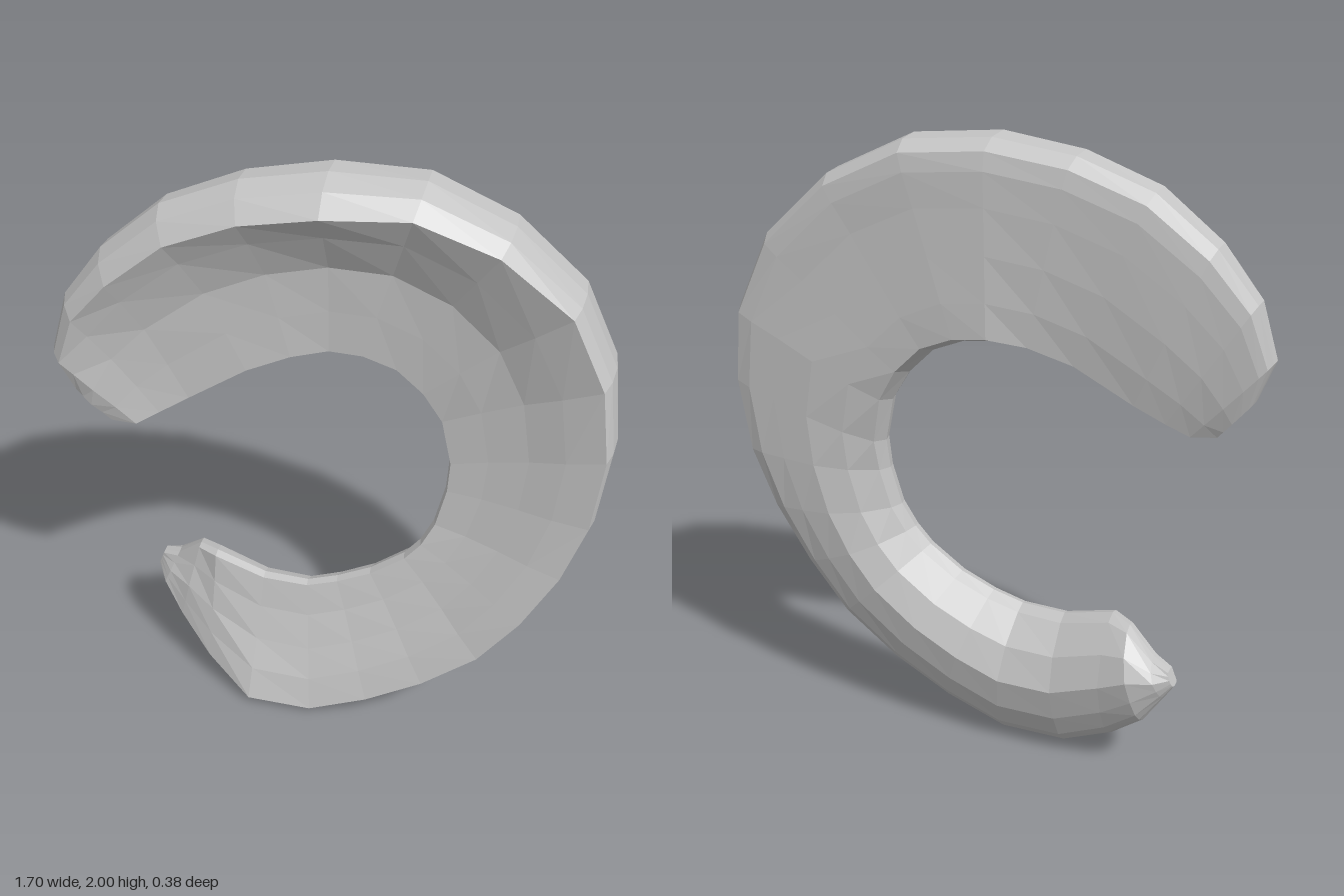
import * as THREE from 'three';

// Stations along the crescent: outer x, outer y, inner x, inner y
const OUTLINE = [
  [-0.80, 1.25, -0.69, 1.12], [-0.85, 1.38, -0.61, 1.115], [-0.80, 1.56, -0.54, 1.15],
  [-0.68, 1.72, -0.45, 1.20], [-0.50, 1.87, -0.27, 1.31], [-0.27, 1.96, -0.14, 1.36],
  [-0.02, 2.00, -0.03, 1.38], [0.25, 1.98, 0.07, 1.37], [0.50, 1.86, 0.17, 1.33],
  [0.71, 1.66, 0.25, 1.25], [0.82, 1.42, 0.31, 1.15], [0.85, 1.18, 0.345, 1.00],
  [0.82, 0.93, 0.34, 0.90], [0.75, 0.73, 0.31, 0.77], [0.64, 0.53, 0.27, 0.69],
  [0.51, 0.35, 0.22, 0.63], [0.33, 0.20, 0.11, 0.55], [0.14, 0.085, 0.00, 0.50],
  [-0.06, 0.00, -0.10, 0.47], [-0.28, 0.005, -0.25, 0.47], [-0.44, 0.09, -0.42, 0.52],
  [-0.56, 0.20, -0.49, 0.51], [-0.63, 0.31, -0.58, 0.43], [-0.66, 0.36, -0.64, 0.41],
];

// Key sections: station, front rim position across the width, then depths of
// rim front, rim back, middle front, middle back, inner front, inner back
const SECTIONS = [
  [0, 0.90, 0.16, 0.10, 0.16, 0.09, 0.14, 0.10],
  [1, 0.88, 0.19, 0.08, 0.17, 0.06, 0.14, 0.07],
  [3, 0.85, 0.20, 0.00, 0.12, -0.01, 0.09, 0.01],
  [6, 0.86, 0.165, -0.11, 0.03, -0.11, 0.01, -0.11],
  [7, 0.89, 0.12, -0.145, 0.01, -0.13, 0.00, -0.12],
  [9, 0.95, 0.08, -0.185, 0.00, -0.155, -0.02, -0.13],
  [10, 0.95, 0.075, -0.19, 0.01, -0.165, -0.03, -0.12],
  [12, 0.96, 0.115, -0.16, 0.05, -0.16, -0.01, -0.08],
  [14, 0.96, 0.16, -0.12, 0.085, -0.16, 0.02, -0.05],
  [18, 0.95, 0.195, -0.05, 0.12, -0.14, 0.05, -0.01],
  [19, 0.95, 0.195, -0.05, 0.11, -0.14, 0.045, -0.02],
  [20, 0.93, 0.11, -0.07, 0.07, -0.15, 0.03, -0.04],
  [21, 0.90, 0.04, -0.11, 0.03, -0.16, -0.01, -0.07],
  [23, 0.90, -0.06, -0.10, -0.06, -0.11, -0.06, -0.10],
];

const mix = THREE.MathUtils.lerp;

function sectionAt(i) {
  let k = 0;
  while (k < SECTIONS.length - 2 && SECTIONS[k + 1][0] < i) k++;
  const a = SECTIONS[k], b = SECTIONS[k + 1];
  const t = (i - a[0]) / (b[0] - a[0]);
  return a.slice(1).map((v, n) => mix(v, b[n + 1], t));
}

// Wedge-shaped loop: thick outer rim, dished front, rounded back, thin inner edge
function ring(i) {
  const [ox, oy, ix, iy] = OUTLINE[i];
  const [rim, rf, rb, mf, mb, nf, nb] = sectionAt(i);
  const loop = [
    [rim, rf],
    [mix(rim, 1, 0.7), mix(rf, rb, 0.18)],
    [1, mix(rf, rb, 0.45)],
    [0.99, mix(rf, rb, 0.75)],
    [0.94, mix(rf, rb, 0.96)],
    [0.85, mix(rb, mb, 0.35)],
    [0.68, mix(rb, mb, 0.75)],
    [0.45, mb],
    [0.22, mix(mb, nb, 0.35)],
    [0.04, nb],
    [0, mix(nf, nb, 0.4)],
    [0.015, nf],
    [0.25, mix(nf, mf, 0.4)],
    [0.50, mf],
    [0.72, mix(mf, rf, 0.55)],
  ];
  return loop.map(([u, z]) => new THREE.Vector3(mix(ix, ox, u), mix(iy, oy, u), z));
}

function crescentGeometry() {
  const rings = OUTLINE.map((_, i) => ring(i));
  const n = rings[0].length;
  const points = rings.flat();
  const index = [];
  for (let s = 0; s < rings.length - 1; s++) {
    for (let j = 0; j < n; j++) {
      const k = (j + 1) % n;
      const a = s * n + j, b = s * n + k, c = a + n, d = b + n;
      index.push(a, c, b, b, c, d);
    }
  }
  // Close both horn tips with fans
  const cap = (s, flip) => {
    const centre = points.length;
    points.push(rings[s].reduce((sum, p) => sum.add(p), new THREE.Vector3()).divideScalar(n));
    for (let j = 0; j < n; j++) {
      const a = s * n + j, b = s * n + ((j + 1) % n);
      index.push(centre, flip ? b : a, flip ? a : b);
    }
  };
  cap(0, false);
  cap(rings.length - 1, true);

  const geometry = new THREE.BufferGeometry().setFromPoints(points);
  geometry.setIndex(index);
  geometry.computeVertexNormals();
  return geometry;
}

export function createModel() {
  const group = new THREE.Group();
  group.name = 'crescentPad';
  const grey = new THREE.MeshStandardMaterial({ color: 0xc4c4c4, flatShading: true });
  grey.name = 'light grey';
  const body = new THREE.Mesh(crescentGeometry(), grey);
  body.name = 'crescentBody';
  group.add(body);
  return group;
}
